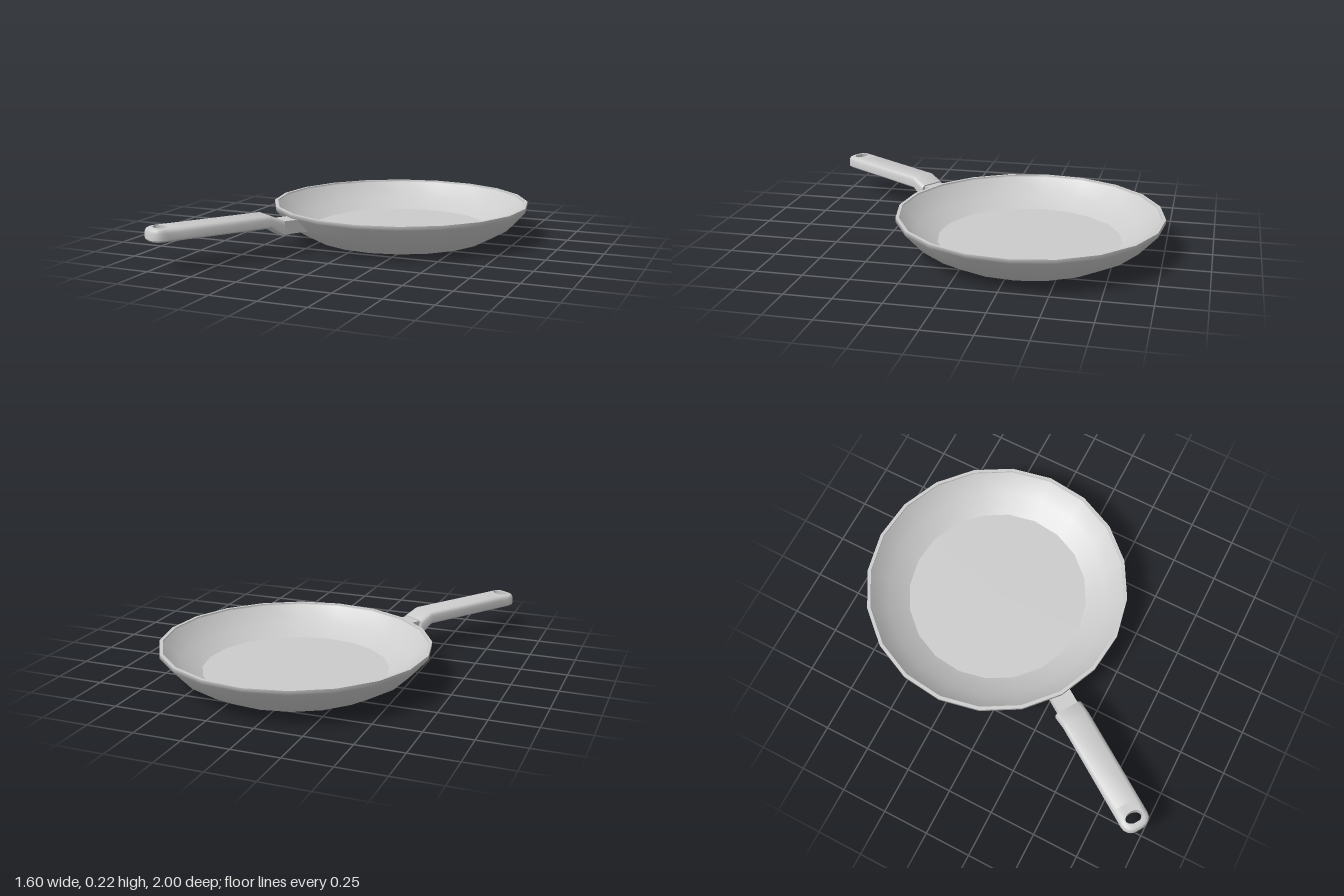
import * as THREE from 'three';
import { toCreasedNormals } from 'three/addons/utils/BufferGeometryUtils.js';

const grey = new THREE.MeshStandardMaterial({ color: 0xcccccc });

// Skins closed rings of [x, y, z] points, in order
function loft(rings) {
  const pos = [];
  const tri = (a, b, c) => pos.push(...a, ...b, ...c);
  for (let i = 0; i < rings.length - 1; i++) {
    const p = rings[i], q = rings[i + 1], n = p.length;
    for (let j = 0; j < n; j++) {
      const k = (j + 1) % n;
      if (p[j] !== p[k]) tri(p[j], p[k], q[j]);
      if (q[j] !== q[k]) tri(p[k], q[k], q[j]);
    }
  }
  const geo = new THREE.BufferGeometry();
  geo.setAttribute('position', new THREE.Float32BufferAttribute(pos, 3));
  return toCreasedNormals(geo, 0.7);
}

function addMesh(parent, name, geometry) {
  const mesh = new THREE.Mesh(geometry, grey);
  mesh.name = name;
  parent.add(mesh);
}

// Handle sizes; the handle runs along local +z, measured from the pan's centre
const HALF = 0.0765, BOTTOM = 0.149, HEIGHT = 0.066;
const SOCKET = 0.79, BEND = 0.87, TIP_START = 1.38, TIP_END = 1.521;

// Rounded side edge of the handle: [inset, height above the bottom]
const edge = (h) => [[0.008, 0], [0, 0.008], [0, h - 0.022], [0.007, h - 0.007], [0.022, h]];

// Cross-section of the grip
function section(z, bottom, h) {
  const right = edge(h).map(([inset, y]) => [HALF - inset, bottom + y, z]);
  const left = right.map(([x, y]) => [-x, y, z]).reverse();
  return [...right, ...left];
}

// Plan outline of the rounded tip
function tipOutline(inset) {
  const w = HALF - inset, corner = 0.056, half = [[w / 2, TIP_START], [w, TIP_START], [w, 1.44]];
  for (let i = 0; i <= 4; i++) {
    const a = (i / 4) * Math.PI / 2;
    half.push([
      HALF - corner + (corner - inset) * Math.cos(a),
      TIP_END - corner + (corner - inset) * Math.sin(a),
    ]);
  }
  const left = half.map(([x, z]) => [-x, z]);
  return [...left, ...half.reverse(), [0, TIP_START]];
}

function tipGeometry() {
  const holeZ = 1.456;
  const hole = (y) => tipOutline(0).map(([x, z]) => {
    const a = Math.atan2(z - holeZ, x);
    return [0.047 * Math.cos(a), y, holeZ + 0.03 * Math.sin(a)];
  });
  const sides = edge(HEIGHT).map(([inset, y]) =>
    tipOutline(inset).map(([x, z]) => [x, BOTTOM + y, z]));
  return loft([hole(BOTTOM), ...sides, hole(BOTTOM + HEIGHT), hole(BOTTOM)]);
}

export function createModel() {
  const model = new THREE.Group();
  model.name = 'fryingPan';

  // Pan body: profiles split where the edges are sharp
  const pan = new THREE.Group();
  pan.name = 'pan';
  pan.position.set(0.088, 0, -0.286);
  model.add(pan);
  const profiles = {
    panBase: [[0, 0], [0.497, 0]],
    outerWall: [[0.497, 0], [0.617, 0.065], [0.715, 0.172], [0.715, 0.195]],
    rim: [[0.715, 0.195], [0.697, 0.195]],
    innerWall: [[0.697, 0.195], [0.697, 0.183], [0.605, 0.1], [0.495, 0.05]],
    panFloor: [[0.495, 0.05], [0, 0.05]],
  };
  for (const [name, points] of Object.entries(profiles)) {
    const profile = points.map(([r, y]) => new THREE.Vector2(r, y));
    addMesh(pan, name, new THREE.LatheGeometry(profile, 20, 0.044));
  }

  // Handle, turned to point diagonally off the pan
  const handle = new THREE.Group();
  handle.name = 'handle';
  handle.rotation.y = -0.588;
  pan.add(handle);

  // Neck, its inner end sloped to follow the wall
  const neckRing = (z, slope) => [[1, 0.103], [1, 0.174], [-1, 0.174], [-1, 0.103]]
    .map(([side, y]) => [side * 0.057, y, z + (y > 0.15 ? slope : 0)]);
  addMesh(handle, 'neck', loft([neckRing(0.635, 0.055), neckRing(0.81, 0)]));

  // Grip with a closed socket end and a bend down to the neck
  const socket = section(SOCKET, 0.095, 0.085);
  const middle = [0, 0.14, SOCKET];
  addMesh(handle, 'grip', loft([
    socket.map(() => middle),
    socket,
    section(BEND, BOTTOM, HEIGHT),
    section(TIP_START, BOTTOM, HEIGHT),
  ]));

  // Rounded tip with the hanging hole
  addMesh(handle, 'gripTip', tipGeometry());

  return model;
}
